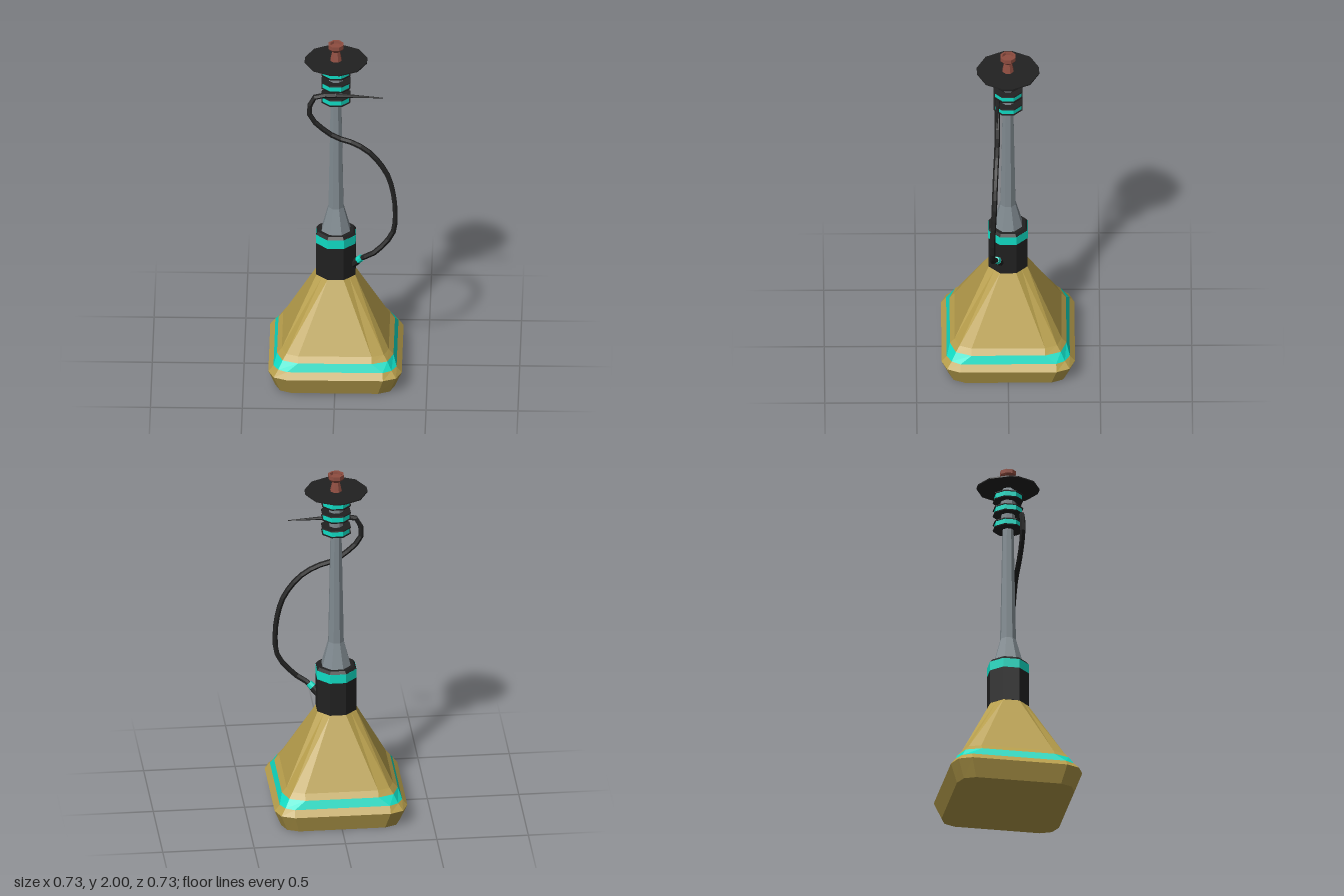
import * as THREE from 'three';

const mat = (name, color) => {
  const m = new THREE.MeshStandardMaterial({ color });
  m.name = name;
  return m;
};

// Ring = [y, half width, half length of flat side, diagonal corner coordinate]
const oct = (y, h) => [y, h, h * 0.414, h * 0.707];

// The twelve corner points of one ring, turning from +x towards +z
function ringPoints([y, h, c, d]) {
  const pts = [];
  for (let q = 0; q < 4; q++) {
    const cos = Math.round(Math.cos(q * Math.PI / 2)), sin = Math.round(Math.sin(q * Math.PI / 2));
    for (const [x, z] of [[h, -c], [h, c], [d, d]]) {
      pts.push(new THREE.Vector3(x * cos - z * sin, y, x * sin + z * cos));
    }
  }
  return pts;
}

// Faceted skin through rings listed from bottom to top, with optional caps
function loft(rings, capBottom = true, capTop = true) {
  const loops = rings.map(ringPoints), n = 12, tris = [];
  for (let k = 0; k < loops.length - 1; k++) {
    const a = loops[k], b = loops[k + 1];
    for (let i = 0; i < n; i++) {
      const j = (i + 1) % n;
      tris.push(a[i], b[i], a[j], a[j], b[i], b[j]);
    }
  }
  const cap = (loop, up) => {
    const centre = new THREE.Vector3(0, loop[0].y, 0);
    for (let i = 0; i < n; i++) {
      const j = (i + 1) % n;
      tris.push(centre, loop[up ? j : i], loop[up ? i : j]);
    }
  };
  if (capBottom) cap(loops[0], false);
  if (capTop) cap(loops[loops.length - 1], true);
  const g = new THREE.BufferGeometry().setFromPoints(tris);
  g.computeVertexNormals();
  return g;
}

const faceted = (geometry) => {
  const g = geometry.toNonIndexed();
  g.computeVertexNormals();
  return g;
};

export function createModel() {
  const model = new THREE.Group();
  const gold = mat('gold', 0xb89f4c), teal = mat('teal', 0x10dcc4), black = mat('black', 0x212121);
  const steel = mat('steel', 0x808a90), clay = mat('clay', 0x8f4d40);

  const add = (name, geometry, material, parent = model) => {
    const m = new THREE.Mesh(geometry, material);
    m.name = name;
    parent.add(m);
    return m;
  };

  // Chamfered square vase with a teal stripe
  const stripeLow = [0.135, 0.335, 0.26, 0.308], stripeHigh = [0.18, 0.317, 0.2, 0.285];
  add('vaseFoot', loft([
    [0, 0.325, 0.235, 0.298], [0.1, 0.363, 0.262, 0.333], stripeLow,
  ], true, false), gold);
  add('vaseStripe', loft([stripeLow, stripeHigh], false, false), teal);
  add('vaseBody', loft([stripeHigh, [0.21, 0.291, 0.2, 0.265], oct(0.585, 0.105)], false), gold);

  // Neck collar
  add('neck', loft([oct(0.585, 0.107), oct(0.78, 0.107)]), black);
  add('neckBand', loft([oct(0.78, 0.108), oct(0.832, 0.108)]), teal);
  add('neckRim', loft([oct(0.832, 0.107), oct(0.848, 0.096)]), black);

  // Stem
  add('stem', loft([
    oct(0.845, 0.078), oct(0.99, 0.041), oct(1.65, 0.029), oct(1.69, 0.036), oct(1.87, 0.04), oct(1.9, 0.025),
  ]), steel);

  // Three grip rings, each a teal core between black lips
  for (const y of [1.67, 1.757, 1.837]) {
    const ring = new THREE.Group();
    ring.name = 'gripRing';
    add('ringCore', loft([oct(y - 0.015, 0.072), oct(y + 0.015, 0.072)]), teal, ring);
    for (const s of [-1, 1]) {
      const a = oct(y + s * 0.015, 0.079), b = oct(y + s * 0.021, 0.077);
      add('ringLip', loft(s > 0 ? [a, b] : [b, a]), black, ring);
    }
    model.add(ring);
  }

  // Ash plate and bowl with a recessed top
  add('plate', loft([[1.894, 0.17, 0.025, 0.121], [1.901, 0.17, 0.025, 0.121]]), black);
  add('bowl', loft([
    oct(1.9, 0.031), oct(1.955, 0.02), oct(1.968, 0.034), oct(1.978, 0.041), oct(2, 0.041),
    oct(2, 0.031), oct(1.985, 0.029),
  ]), clay);

  // Hose, running from the neck port up and across the stem
  const path = [
    [0.08, 0.64, 0.035], [0.14, 0.703, 0.066], [0.2, 0.738, 0.083], [0.31, 0.87, 0.085], [0.324, 1.0, 0.085],
    [0.31, 1.13, 0.078], [0.28, 1.23, 0.074], [0.2, 1.345, 0.068], [0.11, 1.41, 0.062], [0, 1.45, 0.058],
    [-0.07, 1.5, 0.058], [-0.142, 1.585, 0.056], [-0.125, 1.688, 0.056], [-0.075, 1.709, 0.056], [0, 1.71, 0.056],
  ].map((p) => new THREE.Vector3(...p));
  const curve = new THREE.CatmullRomCurve3(path);
  add('hose', faceted(new THREE.TubeGeometry(curve, 26, 0.015, 6)), black);

  // Straight tapered piece between two points
  const rod = (name, from, to, r0, r1, material) => {
    const dir = to.clone().sub(from);
    const m = add(name, faceted(new THREE.CylinderGeometry(r1, r0, dir.length(), 8)), material);
    m.position.copy(from).addScaledVector(dir, 0.5);
    m.quaternion.setFromUnitVectors(new THREE.Vector3(0, 1, 0), dir.normalize());
  };
  const at = (t) => path[0].clone().lerp(path[1], t);
  rod('hosePort', at(0), at(0.7), 0.022, 0.022, black);
  rod('hosePortBand', at(0.7), at(1.02), 0.021, 0.019, teal);
  rod('mouthpiece', path[14], new THREE.Vector3(0.256, 1.7, 0.062), 0.014, 0.002, black);

  return model;
}
